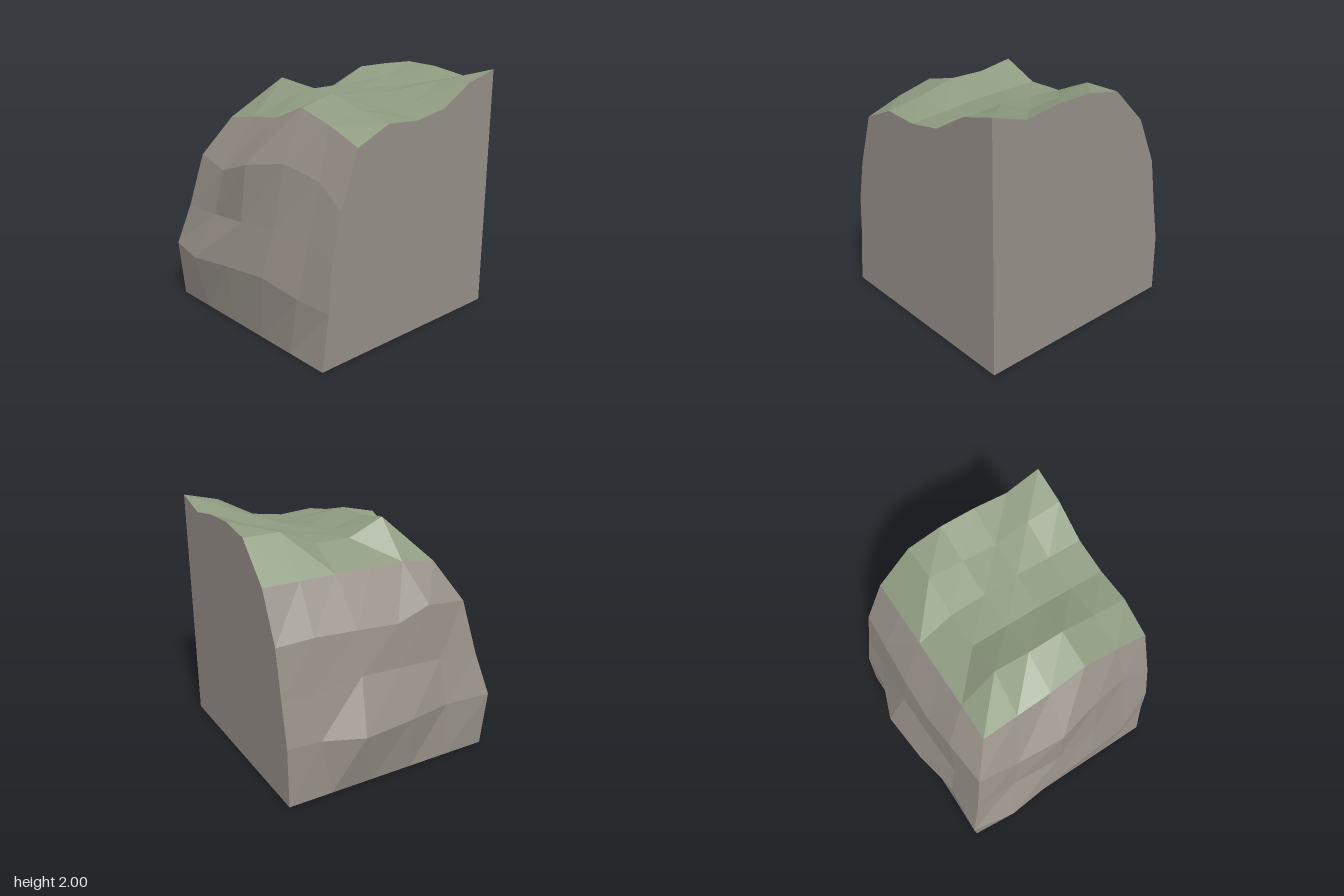
import * as THREE from 'three';

const RIGHT = 0.97, BACK = -0.96;
const flat = (color, name) => {
  const m = new THREE.MeshStandardMaterial({ color, flatShading: true, side: THREE.DoubleSide });
  m.name = name;
  return m;
};

// Faceted surface over rows of points (bottom to top, left to right seen from outside)
function gridGeometry(rows) {
  const cols = rows[0].length, index = [];
  for (let r = 0; r < rows.length - 1; r++) {
    for (let c = 0; c < cols - 1; c++) {
      const a = r * cols + c, b = a + 1, d = a + cols, e = d + 1;
      index.push(a, b, e, a, e, d);
    }
  }
  const g = new THREE.BufferGeometry();
  g.setAttribute('position', new THREE.Float32BufferAttribute(rows.flat(2), 3));
  g.setIndex(index);
  const faceted = g.toNonIndexed();
  faceted.computeVertexNormals();
  return faceted;
}

// Flat cut wall from an outline of [u, y] points
const wallGeometry = (outline) =>
  new THREE.ShapeGeometry(new THREE.Shape(outline.map(([u, v]) => new THREE.Vector2(u, v))));

export function createModel() {
  const group = new THREE.Group();
  const grass = flat(0x8e9b80, 'grass');
  const rock = flat(0x968f87, 'rock');
  const add = (name, geometry, material) => {
    const mesh = new THREE.Mesh(geometry, material);
    mesh.name = name;
    group.add(mesh);
  };
  const steps = [0, 1, 2, 3, 4, 5];

  // Grassy top: heights on a regular grid, from the front edge to the back
  const heights = [
    [1.59, 1.635, 1.68, 1.80, 1.72, 1.61],
    [1.63, 1.92, 1.87, 1.87, 1.79, 1.735],
    [1.63, 1.79, 1.78, 1.77, 1.74, 1.715],
    [1.63, 1.79, 1.80, 1.81, 1.78, 1.76],
    [1.63, 1.92, 1.87, 1.84, 1.90, 1.925],
    [1.63, 1.92, 1.97, 1.96, 1.915, 2.0],
  ];
  const top = heights.map((row, r) =>
    row.map((y, c) => [-0.52 + c * 0.298, y, 0.53 - r * 0.298]));
  add('grassTop', gridGeometry(top), grass);

  // Front cliff, its upper row shared with the grass edge
  const front = [
    steps.map((c) => [-0.85 + c * 0.364, 0, 0.86]),
    [[-0.88, 0.47, 0.89], [-0.52, 0.46, 0.955], [-0.1, 0.50, 0.92],
      [0.33, 0.54, 0.90], [0.70, 0.48, 0.865], [RIGHT, 0.44, 0.80]],
    [[-0.78, 0.82, 0.81], [-0.42, 0.83, 0.80], [0, 0.88, 0.84],
      [0.38, 0.92, 0.81], [0.72, 0.90, 0.77], [RIGHT, 0.82, 0.77]],
    [[-0.69, 1.27, 0.72], [-0.35, 1.21, 0.75], [0.03, 1.345, 0.805],
      [0.40, 1.415, 0.725], [0.72, 1.34, 0.67], [RIGHT, 1.18, 0.685]],
    top[0],
  ];
  add('frontCliff', gridGeometry(front), rock);

  // Side cliff, from the back to the corner it shares with the front
  const side = [
    steps.map((c) => [-0.85, 0, BACK + c * 0.364]),
    [[-0.84, 0.49, BACK], [-0.85, 0.48, -0.68], [-0.97, 0.47, -0.36],
      [-0.93, 0.48, 0.09], [-0.85, 0.47, 0.48], front[1][0]],
    [[-0.77, 0.85, BACK], [-0.78, 0.83, -0.71], [-0.80, 0.90, -0.30],
      [-0.79, 0.88, 0.06], [-0.77, 0.85, 0.45], front[2][0]],
    [[-0.70, 1.24, BACK], [-0.72, 1.26, -0.66], [-0.74, 1.25, -0.31],
      [-0.75, 1.23, 0.05], [-0.73, 1.32, 0.35], front[3][0]],
    top.map((row) => row[0]).reverse(),
  ];
  add('sideCliff', gridGeometry(side), rock);

  // Flat cut walls follow the cliff and grass edges; the underside stays open
  const cutEdge = [...front.map((row) => row[5]), ...top.slice(1).map((row) => row[5])];
  const cutWall = wallGeometry([...cutEdge.map(([, y, z]) => [-z, y]), [-BACK, 0]]);
  add('cutSideWall', cutWall.rotateY(Math.PI / 2).translate(RIGHT, 0, 0), rock);

  const backEdge = [...side.map((row) => row[0]), ...top[5].slice(1)];
  const backWall = wallGeometry([...backEdge.map(([x, y]) => [-x, y]), [-RIGHT, 0]]);
  add('cutBackWall', backWall.rotateY(Math.PI).translate(0, 0, BACK), rock);

  return group;
}
